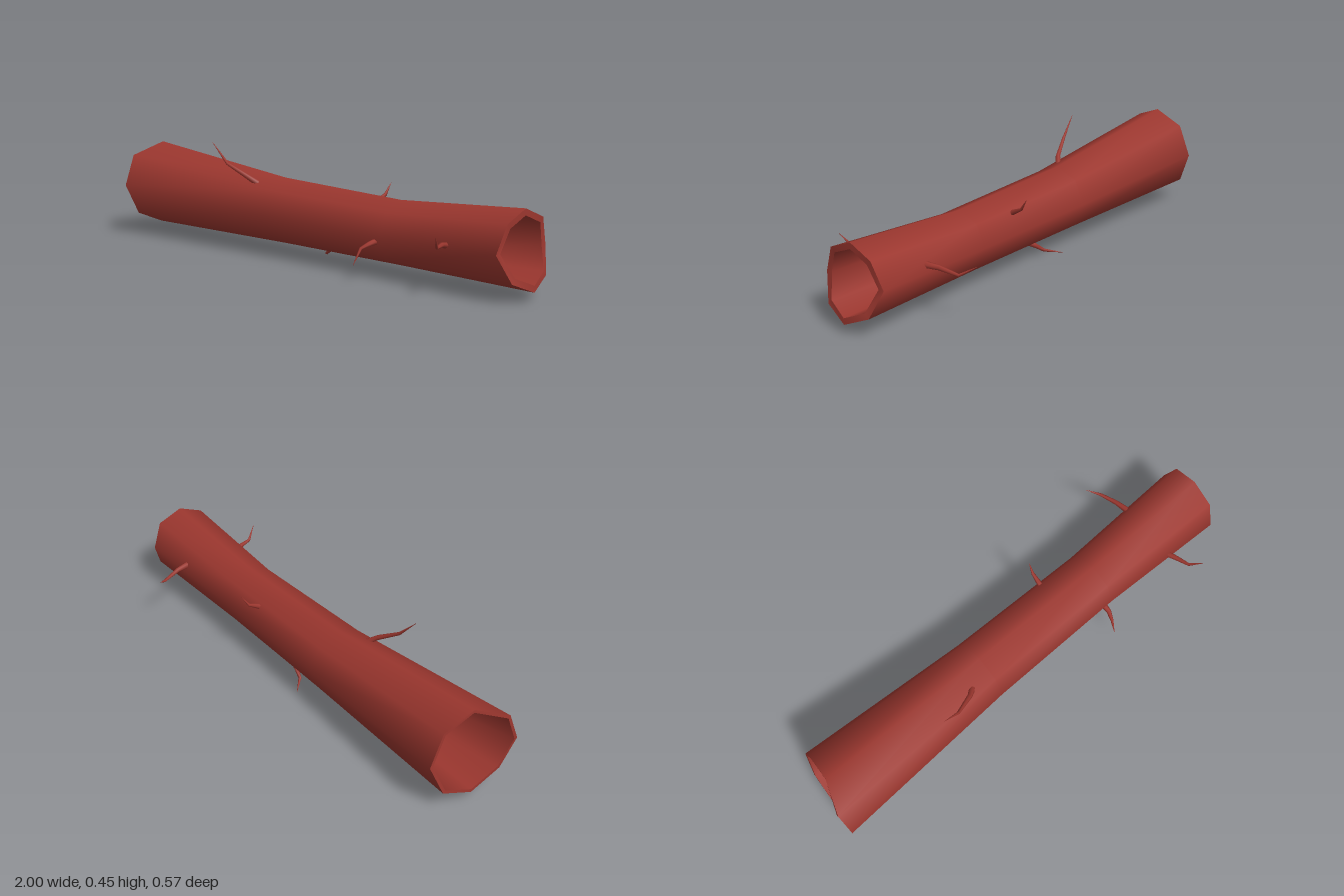
import * as THREE from 'three';

const SIDES = 8;

// Skin a list of closed rings (arrays of Vector3) with smooth normals
function loft(rings, material, name) {
  const n = rings[0].length, index = [];
  for (let i = 0; i < rings.length - 1; i++) {
    for (let k = 0; k < n; k++) {
      const a = i * n + k, b = i * n + (k + 1) % n, c = a + n, d = b + n;
      index.push(a, b, c, b, d, c);
    }
  }
  const geometry = new THREE.BufferGeometry().setFromPoints(rings.flat());
  geometry.setIndex(index);
  geometry.computeVertexNormals();
  const mesh = new THREE.Mesh(geometry, material);
  mesh.name = name;
  return mesh;
}

// Octagon across the log, first corner on top, then turning to the front
function logRing(x, y, z, r) {
  return Array.from({ length: SIDES }, (_, k) => {
    const a = k / SIDES * Math.PI * 2;
    return new THREE.Vector3(Array.isArray(x) ? x[k] : x, y + r * Math.cos(a), z + r * Math.sin(a));
  });
}

// Tapered, bent twig along a few points
function twig(points, material, name) {
  const p = points.map(q => new THREE.Vector3(...q));
  const radii = p.map((_, i) => 0.0125 * (1 - i / (p.length - 1)) ** 0.7 + 0.0006);
  const up = new THREE.Vector3(1, 0.2, 0.1).normalize();
  const rings = p.map((c, i) => {
    const t = p[Math.min(i + 1, p.length - 1)].clone().sub(p[Math.max(i - 1, 0)]).normalize();
    const u = up.clone().addScaledVector(t, -up.dot(t)).normalize();
    const v = t.clone().cross(u);
    return Array.from({ length: 6 }, (_, k) => {
      const a = k / 6 * Math.PI * 2;
      return c.clone().addScaledVector(u, radii[i] * Math.cos(a)).addScaledVector(v, radii[i] * Math.sin(a));
    });
  });
  return loft(rings, material, name);
}

export function createModel() {
  const group = new THREE.Group();
  group.name = 'hollowLog';
  const bark = new THREE.MeshStandardMaterial({ color: 0x9c372f });
  bark.name = 'redBark';

  // Uneven broken ends: one x per corner
  const leftEnd = [-0.95, -1, -0.995, -0.975, -0.97, -0.96, -0.94, -0.94];
  const rightEnd = [0.955, 0.95, 0.935, 0.975, 1, 0.98, 0.945, 0.96];

  // x, centre y, centre z, outer radius, inner radius
  const sections = [
    [leftEnd, 0.22, 0.03, 0.181, 0.168],
    [-0.2, 0.18, 0.02, 0.136, 0.116],
    [0.4, 0.169, 0.018, 0.126, 0.108],
    [rightEnd, 0.184, 0.018, 0.147, 0.122],
  ];
  const outer = sections.map(([x, y, z, r]) => logRing(x, y, z, r));
  const inner = sections.map(([x, y, z, , r]) => logRing(x, y, z, r));
  const last = sections.length - 1;

  group.add(
    loft(outer, bark, 'outerBark'),
    loft([...inner].reverse(), bark, 'hollowInside'),
    loft([inner[0], outer[0]], bark, 'leftRim'),
    loft([outer[last], inner[last]], bark, 'rightRim'),
  );

  // Twigs, from the root inside the wall to the tip
  const twigs = {
    topFrontTwig: [[-0.29, 0.285, 0.085], [-0.325, 0.315, 0.112], [-0.41, 0.367, 0.148], [-0.485, 0.45, 0.16]],
    frontTwig: [[0.705, 0.18, 0.13], [0.72, 0.194, 0.185], [0.738, 0.194, 0.238], [0.765, 0.245, 0.283]],
    lowFrontTwig: [[0.37, 0.148, 0.125], [0.367, 0.143, 0.165], [0.355, 0.13, 0.198], [0.345, 0.07, 0.23]],
    backTwig: [[0.71, 0.203, -0.105], [0.7, 0.202, -0.16], [0.682, 0.186, -0.235], [0.637, 0.217, -0.283]],
    topBackTwig: [[0.2, 0.238, -0.055], [0.203, 0.258, -0.09], [0.205, 0.275, -0.125], [0.21, 0.32, -0.155]],
    underTwig: [[0.03, 0.062, -0.02], [0.005, 0.044, -0.037], [-0.035, 0.016, -0.045], [-0.09, 0.003, -0.1]],
  };
  for (const [name, points] of Object.entries(twigs)) group.add(twig(points, bark, name));

  return group;
}
